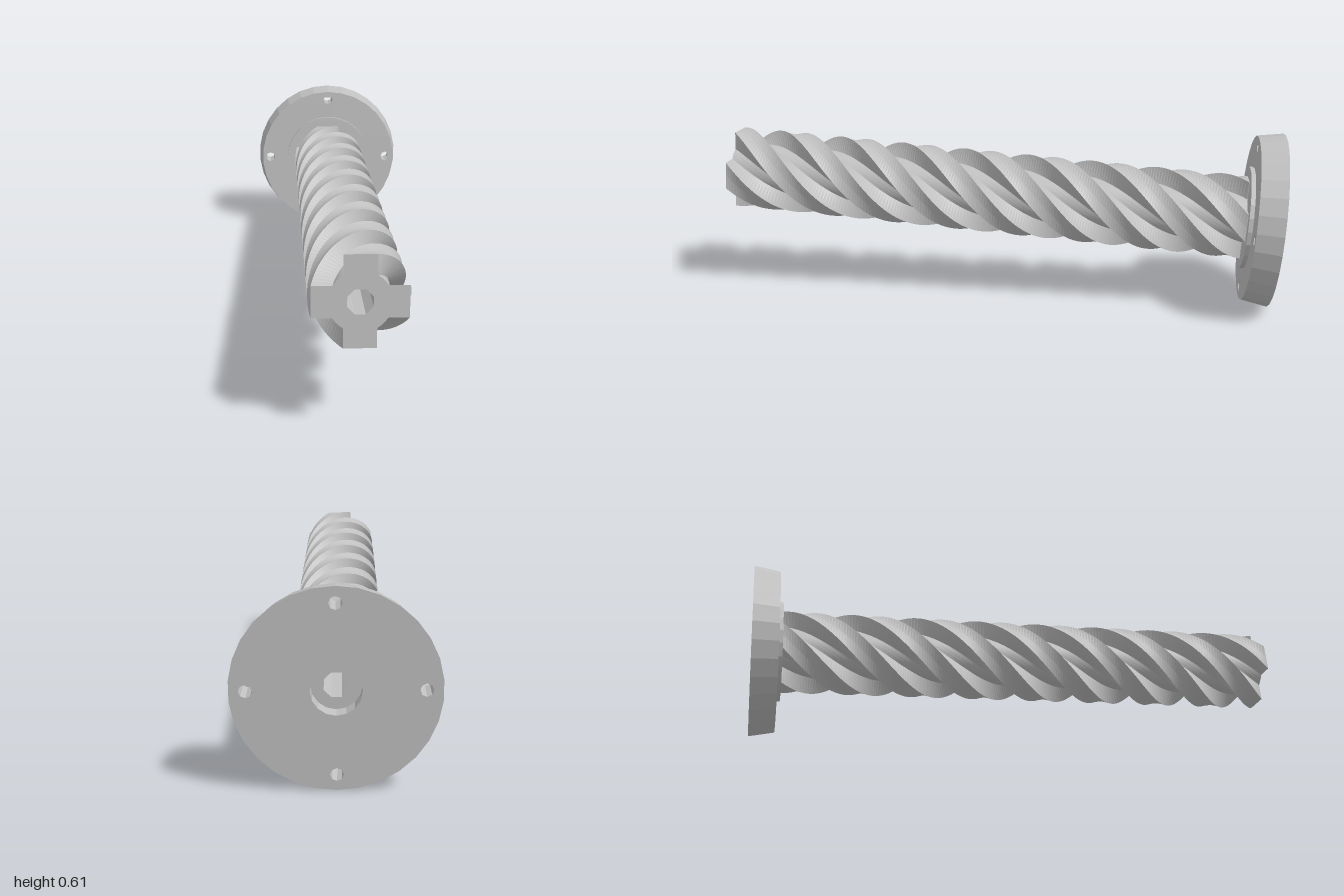
import * as THREE from 'three';

const BACK = new THREE.Vector3(-0.032, 0.307, -0.959); // centre of the flange's back face
const TIP = new THREE.Vector3(0.195, 0.438, 0.98);     // centre of the shaft's free end
const FLANGE_R = 0.306, FLANGE_T = 0.09, BOSS_T = 0.015;
const BORE_R = 0.04, CORE_R = 0.092, ARM_R = 0.139, ARM_HALF = 0.048;

// Points of a regular polygon
function ring(r, n, cx = 0, cy = 0, start = 0) {
  return Array.from({ length: n }, (_, i) => {
    const a = start + (i / n) * Math.PI * 2;
    return new THREE.Vector2(cx + r * Math.cos(a), cy + r * Math.sin(a));
  });
}

// Extrude an outline with holes, then move each vertex by a rule
function extrude(outline, holes, z0, z1, steps, rule) {
  const shape = new THREE.Shape(outline);
  holes.forEach((h) => shape.holes.push(new THREE.Path(h)));
  const g = new THREE.ExtrudeGeometry(shape, { depth: z1 - z0, steps, bevelEnabled: false });
  g.translate(0, 0, z0);
  const p = g.attributes.position;
  const v = new THREE.Vector3();
  for (let i = 0; rule && i < p.count; i++) {
    rule(v.fromBufferAttribute(p, i));
    p.setXYZ(i, v.x, v.y, v.z);
  }
  g.computeVertexNormals();
  return g;
}

// Round core with four square arms
function crossOutline() {
  const pts = [];
  const a0 = Math.asin(ARM_HALF / CORE_R);
  for (let k = 0; k < 4; k++) {
    const turn = (x, y) => pts.push(
      new THREE.Vector2(x, y).rotateAround(new THREE.Vector2(), (k * Math.PI) / 2));
    turn(ARM_R, -ARM_HALF);
    turn(ARM_R, 0);
    turn(ARM_R, ARM_HALF);
    for (let i = 0; i <= 3; i++) {
      const a = a0 + (i / 3) * (Math.PI / 2 - 2 * a0);
      turn(CORE_R * Math.cos(a), CORE_R * Math.sin(a));
    }
  }
  return pts;
}

export function createModel() {
  const metal = new THREE.MeshStandardMaterial({ color: 0xc0c0c0, flatShading: true });
  metal.name = 'greyMetal';
  const group = new THREE.Group();
  group.name = 'flangedScrew';
  const add = (name, geometry) => {
    const mesh = new THREE.Mesh(geometry, metal);
    mesh.name = name;
    group.add(mesh);
  };
  const length = TIP.distanceTo(BACK);

  // Flange: tapered disc with four bolt holes and a central counterbore
  const holes = [ring(0.075, 16)];
  for (let k = 0; k < 4; k++) {
    const a = (k * Math.PI) / 2;
    holes.push(ring(0.02, 8, 0.257 * Math.cos(a), 0.257 * Math.sin(a)));
  }
  add('flange', extrude(ring(FLANGE_R, 30, 0, 0, Math.PI / 30), holes, 0, FLANGE_T, 1, (v) => {
    if (Math.hypot(v.x, v.y) > 0.29 && v.z > 0.01) {
      v.x *= 0.95;
      v.y *= 0.95;
    }
  }));

  // Low boss around the shaft root
  add('boss', extrude(ring(0.18, 24), [ring(0.075, 16)], FLANGE_T, FLANGE_T + BOSS_T, 1));

  // Shaft: four-start right-hand thread with two full turns and a straight bore
  const root = FLANGE_T + BOSS_T;
  const axis = new THREE.Vector3(0, 0, 1);
  add('threadedShaft', extrude(crossOutline(), [ring(BORE_R, 8, 0, 0, Math.PI / 8)], 0.05, length, 200, (v) => {
    if (Math.hypot(v.x, v.y) < 0.06) return;
    const t = Math.max(0, (v.z - root) / (length - root));
    v.applyAxisAngle(axis, t * Math.PI * 4);
  }));

  // Tilt the whole screw along its axis
  group.quaternion.setFromUnitVectors(axis, TIP.clone().sub(BACK).normalize());
  group.position.copy(BACK);
  const model = new THREE.Group();
  model.name = 'screwModel';
  model.add(group);
  return model;
}
